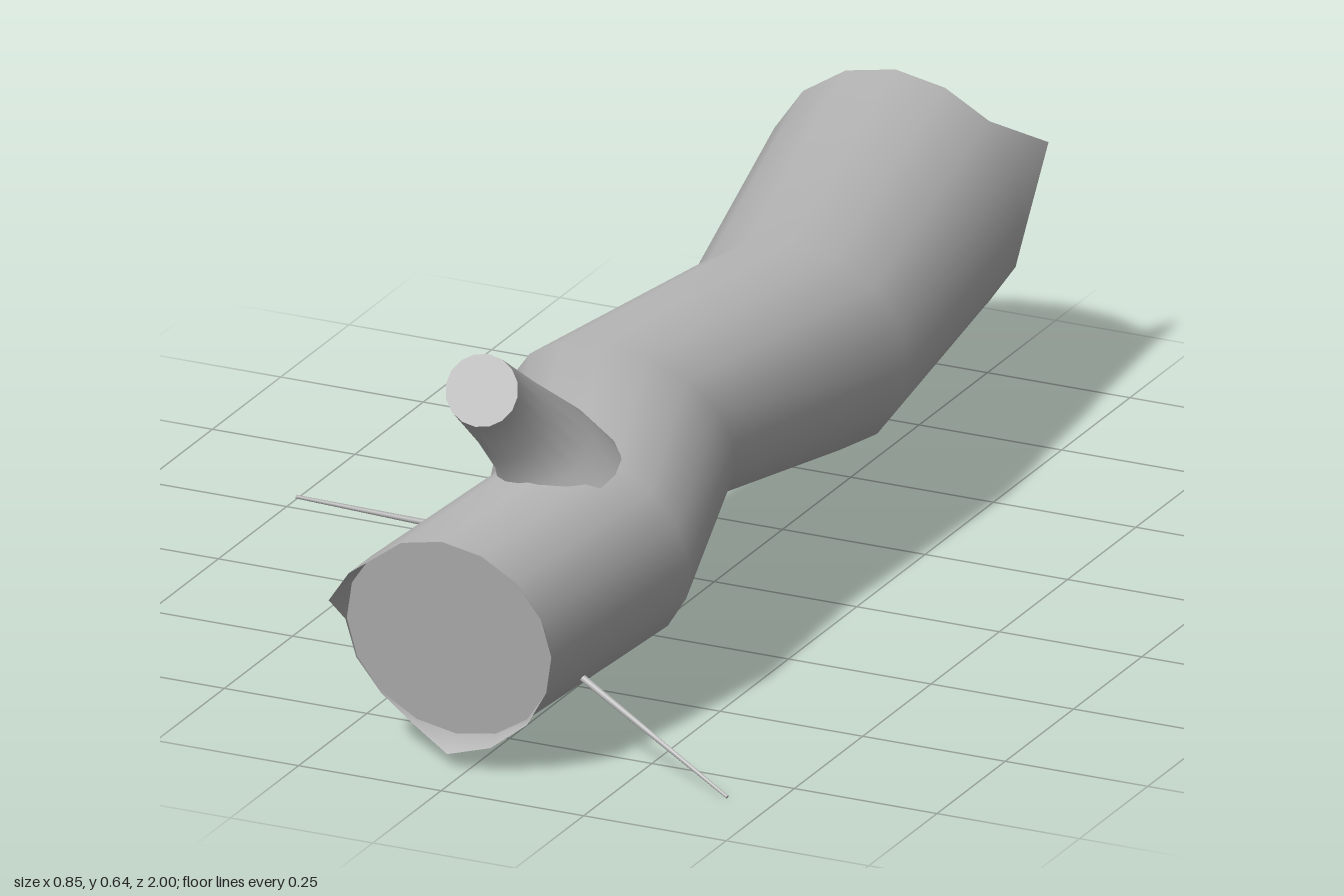
import * as THREE from 'three';

const SIDES = 16;

// Elliptical ring: centre, radii, lean (dz per dy, dz per dx)
function ring([cx, cy, cz, rx, ry, leanY = 0, leanX = 0]) {
  return Array.from({ length: SIDES }, (_, j) => {
    const a = (j / SIDES) * Math.PI * 2;
    const dx = rx * Math.cos(a), dy = ry * Math.sin(a);
    return new THREE.Vector3(cx + dx, cy + dy, cz + dy * leanY + dx * leanX);
  });
}

// Smooth skin through rings listed from front to back
function skin(rings) {
  const index = [];
  for (let i = 0; i < rings.length - 1; i++) {
    for (let j = 0; j < SIDES; j++) {
      const k = (j + 1) % SIDES;
      const a = i * SIDES + j, b = a + SIDES, c = i * SIDES + k, d = c + SIDES;
      index.push(a, b, c, c, b, d);
    }
  }
  const g = new THREE.BufferGeometry().setFromPoints(rings.flat());
  g.setIndex(index);
  g.computeVertexNormals();
  return g;
}

// Fan closing a ring
function cap(points, facesBack) {
  const centre = points.reduce((s, p) => s.add(p), new THREE.Vector3()).divideScalar(SIDES);
  const index = [];
  for (let j = 0; j < SIDES; j++) {
    const k = (j + 1) % SIDES;
    index.push(SIDES, facesBack ? k : j, facesBack ? j : k);
  }
  const g = new THREE.BufferGeometry().setFromPoints([...points, centre]);
  g.setIndex(index);
  g.computeVertexNormals();
  return g;
}

// Torn rim: pushes chosen ring points along z and slightly outward or inward
function tear(points, direction, amounts) {
  const c = points.reduce((s, p) => s.add(p), new THREE.Vector3()).divideScalar(SIDES);
  return points.map((p, j) => {
    const [length, flare = 1] = amounts[j] ?? [0.004];
    return new THREE.Vector3(
      c.x + (p.x - c.x) * flare, c.y + (p.y - c.y) * flare, p.z + direction * length);
  });
}

export function createModel() {
  const bark = new THREE.MeshStandardMaterial({ color: 0xb4b4b4, side: THREE.DoubleSide });
  bark.name = 'grey bark';
  const log = new THREE.Group();
  log.name = 'log';
  const add = (name, geometry) => {
    const mesh = new THREE.Mesh(geometry, bark);
    mesh.name = name;
    log.add(mesh);
  };

  // Crooked trunk with a splintered rim at both ends
  const front = ring([-0.033, 0.222, 0.9, 0.183, 0.173, 0.15, 0.03]);
  const back = ring([-0.097, 0.332, -0.862, 0.228, 0.217]);
  const frontRim = tear(front, 1, {
    5: [0.01], 6: [0.085], 7: [0.085], 8: [0.005],
    11: [0.01, 1.03], 12: [0.035, 1.13], 13: [0.03, 1.08], 14: [0.012, 1.04],
  });
  const backRim = tear(back, -1, {
    0: [0.015], 1: [0.138, 0.97], 2: [0.012],
    8: [0.018], 9: [0.06], 10: [0.068], 11: [0.045],
  });
  add('trunk', skin([
    frontRim,
    front,
    ring([0.03, 0.257, 0.53, 0.18, 0.178, 0.25]),
    ring([-0.025, 0.365, 0.28, 0.195, 0.165, 0.48]),
    ring([0, 0.3, -0.29, 0.203, 0.18, 0.05]),
    back,
    backRim,
  ]));
  add('frontCutFace', cap(front, false));
  add('backCutFace', cap(back, true));

  // Sawn branch stub, flaring where it joins the trunk
  const tip = ring([-0.046, 0.588, 0.755, 0.063, 0.053, -0.47]);
  add('branchStub', skin([
    tip,
    ring([-0.032, 0.515, 0.675, 0.062, 0.055, -0.75]),
    ring([-0.004, 0.455, 0.62, 0.078, 0.042, -1.9]),
    ring([0.012, 0.415, 0.595, 0.1, 0.03, -3.3]),
  ]));
  add('branchCutFace', cap(tip, false));

  // Thin twigs
  const twig = (name, from, to) => {
    const a = new THREE.Vector3(...from), b = new THREE.Vector3(...to);
    const dir = b.clone().sub(a);
    const g = new THREE.CylinderGeometry(0.003, 0.0065, dir.length(), 6);
    g.applyQuaternion(new THREE.Quaternion().setFromUnitVectors(
      new THREE.Vector3(0, 1, 0), dir.normalize()));
    g.translate(...a.add(b).multiplyScalar(0.5).toArray());
    add(name, g);
  };
  twig('rightTwig', [-0.12, 0.25, 0.541], [-0.425, 0.304, 0.645]);
  twig('leftTwig', [0.11, 0.139, 0.75], [0.423, 0.005, 0.835]);

  return log;
}
